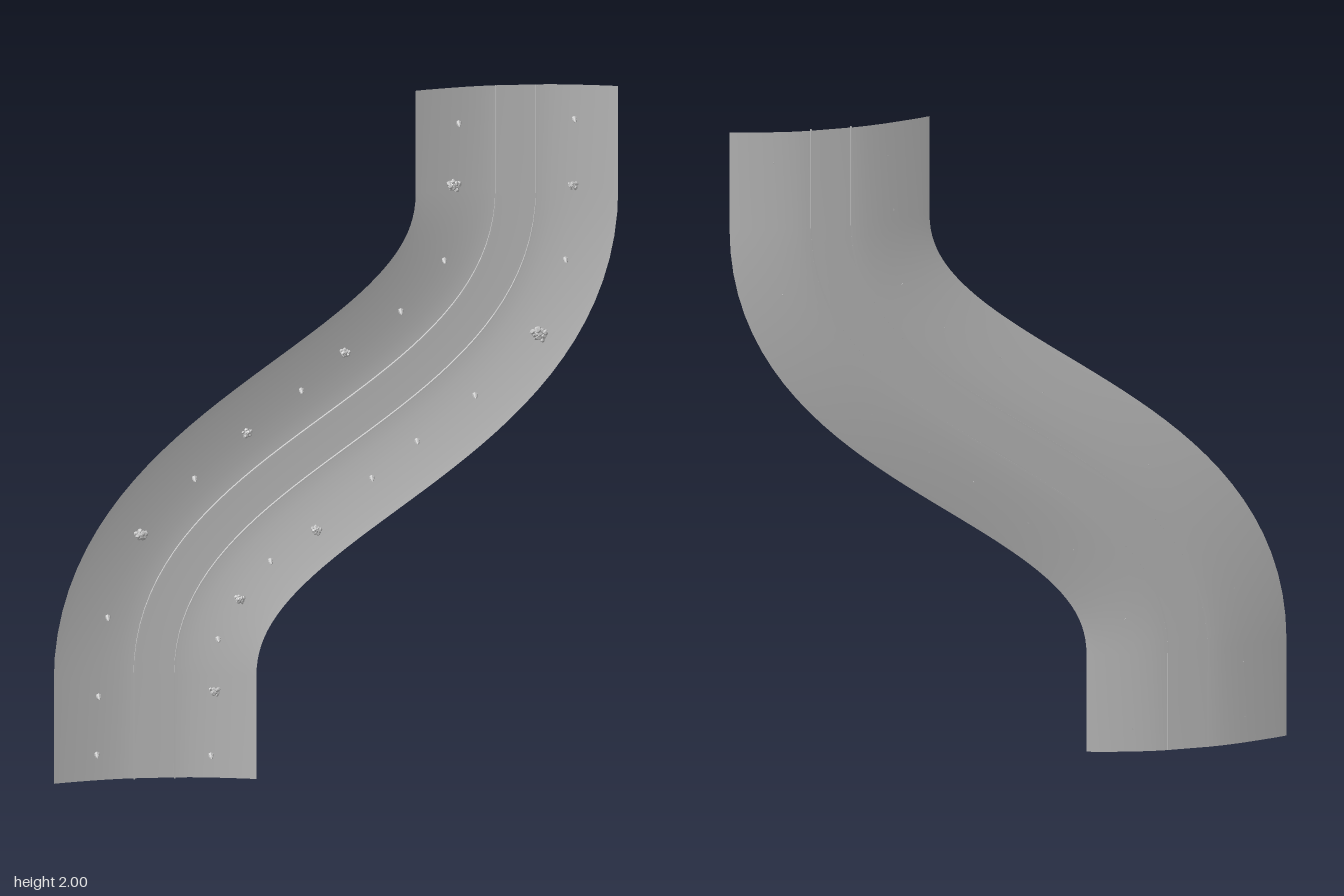
import * as THREE from 'three';

const grey = new THREE.MeshStandardMaterial({ color: 0xcccccc, side: THREE.DoubleSide });
const facet = new THREE.MeshStandardMaterial({ color: 0xcccccc, flatShading: true });

// S-shaped centre line: straight, bend, straight
function pathStations() {
  const bend = new THREE.CubicBezierCurve(
    new THREE.Vector2(-0.5, 0.3), new THREE.Vector2(-0.5, 0.95),
    new THREE.Vector2(0.5, 1.05), new THREE.Vector2(0.5, 1.7));
  const up = new THREE.Vector2(0, 1);
  const list = [{ p: new THREE.Vector2(-0.5, 0), t: up }];
  for (let i = 0; i <= 40; i++) list.push({ p: bend.getPoint(i / 40), t: bend.getTangent(i / 40) });
  list.push({ p: new THREE.Vector2(0.5, 2), t: up });
  return list;
}
const stations = pathStations();

// Sweep a cross-section of [offset to the right, z] along the centre line
function sweep(profile, smooth) {
  const pos = [], idx = [], n = profile.length;
  for (const { p, t } of stations)
    for (const [o, z] of profile) pos.push(p.x + t.y * o, p.y - t.x * o, z);
  for (let i = 0; i < stations.length - 1; i++)
    for (let j = 0; j < n - 1; j++) {
      const a = i * n + j, b = a + 1, c = a + n, d = c + 1;
      idx.push(a, b, d, a, d, c);
    }
  let g = new THREE.BufferGeometry();
  g.setAttribute('position', new THREE.Float32BufferAttribute(pos, 3));
  g.setIndex(idx);
  if (!smooth) g = g.toNonIndexed();
  g.computeVertexNormals();
  return g;
}

// Height of the shallow valley floor at a distance from the centre line
const half = [[0, -0.034], [0.06, -0.034], [0.1, -0.032], [0.15, -0.0265], [0.2, -0.019], [0.25, -0.0105], [0.28, -0.004]];
function groundZ(x, y) {
  let d = Infinity;
  for (let i = 0; i < stations.length - 1; i++) {
    const a = stations[i].p, ab = stations[i + 1].p.clone().sub(a);
    const v = new THREE.Vector2(x, y).sub(a);
    const k = THREE.MathUtils.clamp(v.dot(ab) / ab.lengthSq(), 0, 1);
    d = Math.min(d, v.addScaledVector(ab, -k).length());
  }
  for (let i = 1; i < half.length; i++)
    if (d <= half[i][0]) {
      const [x0, z0] = half[i - 1], [x1, z1] = half[i];
      return z0 + (z1 - z0) * (d - x0) / (x1 - x0);
    }
  return -0.004;
}

let seed = 7;
const rand = () => (seed = (seed * 16807) % 2147483647) / 2147483647;

function add(parent, geo, mat, name) {
  const m = new THREE.Mesh(geo, mat);
  m.name = name;
  parent.add(m);
  return m;
}

// Narrow cone-shaped tree standing out of the ground along +z
function conifer(x, y) {
  const g = new THREE.Group(), z = groundZ(x, y), h = 0.021 - z;
  g.name = 'conifer';
  const trunk = add(g, new THREE.CylinderGeometry(0.0015, 0.002, h * 0.5, 5), facet, 'trunk');
  trunk.rotation.x = Math.PI / 2;
  trunk.position.z = h * 0.22;
  for (const [r, len, at] of [[0.008, 0.5, 0.5], [0.006, 0.4, 0.8]]) {
    const cone = add(g, new THREE.ConeGeometry(r, h * len, 6), facet, 'foliage');
    cone.rotation.x = Math.PI / 2;
    cone.position.z = h * at;
  }
  g.position.set(x, y, z);
  return g;
}

// Clump of small faceted lumps, on a trunk where it is tall
function clump(x, y, r, top) {
  const g = new THREE.Group(), z = groundZ(x, y), tall = top > 0.02;
  g.name = tall ? 'broadleafTree' : 'bush';
  const low = tall ? Math.max(z + 0.006, top - r * 1.3) : z;
  if (tall) {
    const trunk = add(g, new THREE.CylinderGeometry(0.003, 0.004, top - z - 0.01, 6), facet, 'trunk');
    trunk.rotation.x = Math.PI / 2;
    trunk.position.z = (top - z - 0.01) / 2;
  }
  for (let i = 0; i < 11; i++) {
    const s = r * (0.28 + 0.14 * rand()), a = i * 2.4, d = (r - s) * Math.sqrt(i / 10);
    const lump = add(g, new THREE.IcosahedronGeometry(s, 0), facet, 'foliage');
    const zTop = top - s - (top - low) * 0.5 * (i / 10) * rand();
    lump.position.set(Math.cos(a) * d, Math.sin(a) * d * 0.85, Math.max(zTop, low + s * 0.4) - z);
    lump.rotation.set(rand() * 3, rand() * 3, 0);
  }
  g.position.set(x, y, z);
  return g;
}

export function createModel() {
  const model = new THREE.Group();
  model.name = 'curvedValleyRoad';

  // Curved ground sheet with raised rims
  const left = half.slice(1).reverse().map(([o, z]) => [-o, z]);
  add(model, sweep([...left, ...half], true), grey, 'ground');

  // Thin low walls on both sides of the road
  for (const s of [-1, 1]) {
    const a = s * 0.056 - 0.002, b = s * 0.056 + 0.002;
    add(model, sweep([[a, -0.0345], [a, -0.024], [b, -0.024], [b, -0.0345], [a, -0.0345]], false), grey, 'roadWall');
  }

  // Conifers along the verges
  const conifers = [[-0.66, 0.08], [-0.655, 0.25], [-0.63, 0.48], [-0.39, 0.88], [-0.095, 1.13], [0.18, 1.355],
    [0.3, 1.5], [0.34, 1.9], [0.66, 1.905], [0.635, 1.495], [0.385, 1.105], [0.225, 0.975], [0.1, 0.87],
    [-0.18, 0.635], [-0.325, 0.41], [-0.345, 0.07]];
  for (const [x, y] of conifers) model.add(conifer(x, y));

  // Bushes and broad trees: x, y, radius, top
  const clumps = [[-0.54, 0.73, 0.023, 0.034], [-0.265, 0.525, 0.018, 0.002], [-0.335, 0.26, 0.018, 0.012],
    [-0.055, 0.73, 0.018, 0.026], [-0.245, 1.01, 0.018, 0.004], [0.025, 1.245, 0.018, 0.022],
    [0.325, 1.73, 0.024, 0.034], [0.655, 1.715, 0.017, 0.014], [0.56, 1.29, 0.029, 0.034]];
  for (const c of clumps) model.add(clump(...c));

  return model;
}
